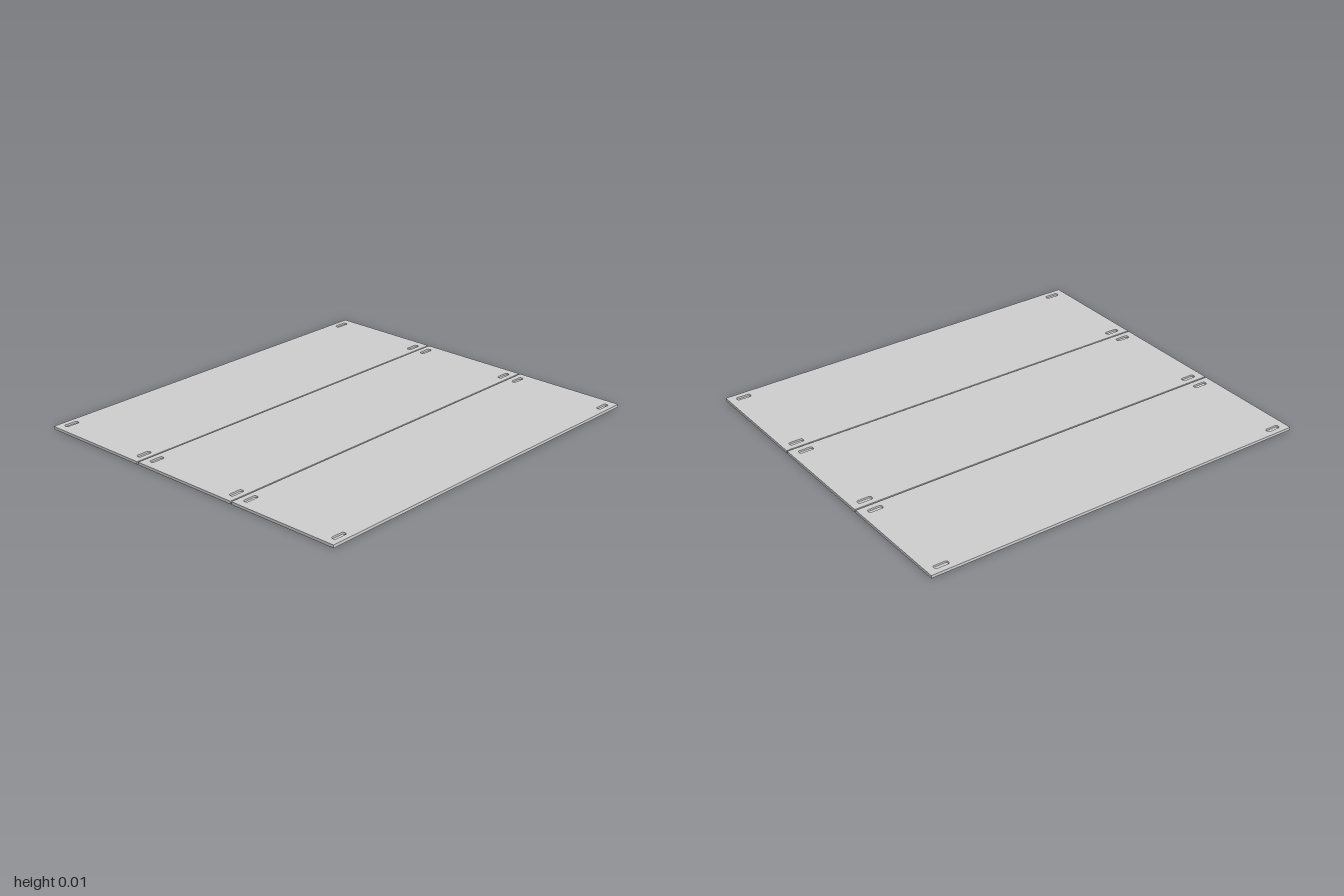
import * as THREE from 'three';

const WIDTH = 2, DEPTH = 0.586, PITCH = 0.593;
const BASE = 0.005, TOP = 0.014; // pocket floor and upper surface heights
const SLOT = { w: 0.072, d: 0.024, r: 0.009, x: 0.925, z: 0.253 };

// Rounded slot outline centred on (cx, cy)
function slotPath(cx, cy) {
  const { w, d, r } = SLOT;
  const x = w / 2 - r, y = d / 2 - r;
  const p = new THREE.Path();
  p.absarc(cx + x, cy + y, r, 0, Math.PI / 2);
  p.absarc(cx - x, cy + y, r, Math.PI / 2, Math.PI);
  p.absarc(cx - x, cy - y, r, Math.PI, Math.PI * 1.5);
  p.absarc(cx + x, cy - y, r, Math.PI * 1.5, Math.PI * 2);
  p.closePath();
  return p;
}

// Upper layer of a panel, pierced by a slot near each corner
function slottedLayer() {
  const x = WIDTH / 2, y = DEPTH / 2;
  const shape = new THREE.Shape([
    new THREE.Vector2(-x, -y), new THREE.Vector2(x, -y),
    new THREE.Vector2(x, y), new THREE.Vector2(-x, y),
  ]);
  for (const sx of [-1, 1])
    for (const sy of [-1, 1]) shape.holes.push(slotPath(sx * SLOT.x, sy * SLOT.z));
  const geo = new THREE.ExtrudeGeometry(shape, { depth: TOP - BASE, bevelEnabled: false, curveSegments: 6 });
  return geo.rotateX(-Math.PI / 2).translate(0, BASE, 0);
}

export function createModel() {
  const model = new THREE.Group();
  model.name = 'panelSet';
  const material = new THREE.MeshStandardMaterial({ color: 0xcccccc });
  const topGeo = slottedLayer();
  const baseGeo = new THREE.BoxGeometry(WIDTH, BASE, DEPTH).translate(0, BASE / 2, 0);

  // Three identical panels separated by narrow gaps
  ['backPanel', 'middlePanel', 'frontPanel'].forEach((name, i) => {
    const panel = new THREE.Group();
    panel.name = name;
    panel.position.z = (i - 1) * PITCH;
    const top = new THREE.Mesh(topGeo, material);
    top.name = 'slottedTop';
    const base = new THREE.Mesh(baseGeo, material); // closes the slots from below
    base.name = 'solidBase';
    panel.add(top, base);
    model.add(panel);
  });
  return model;
}
